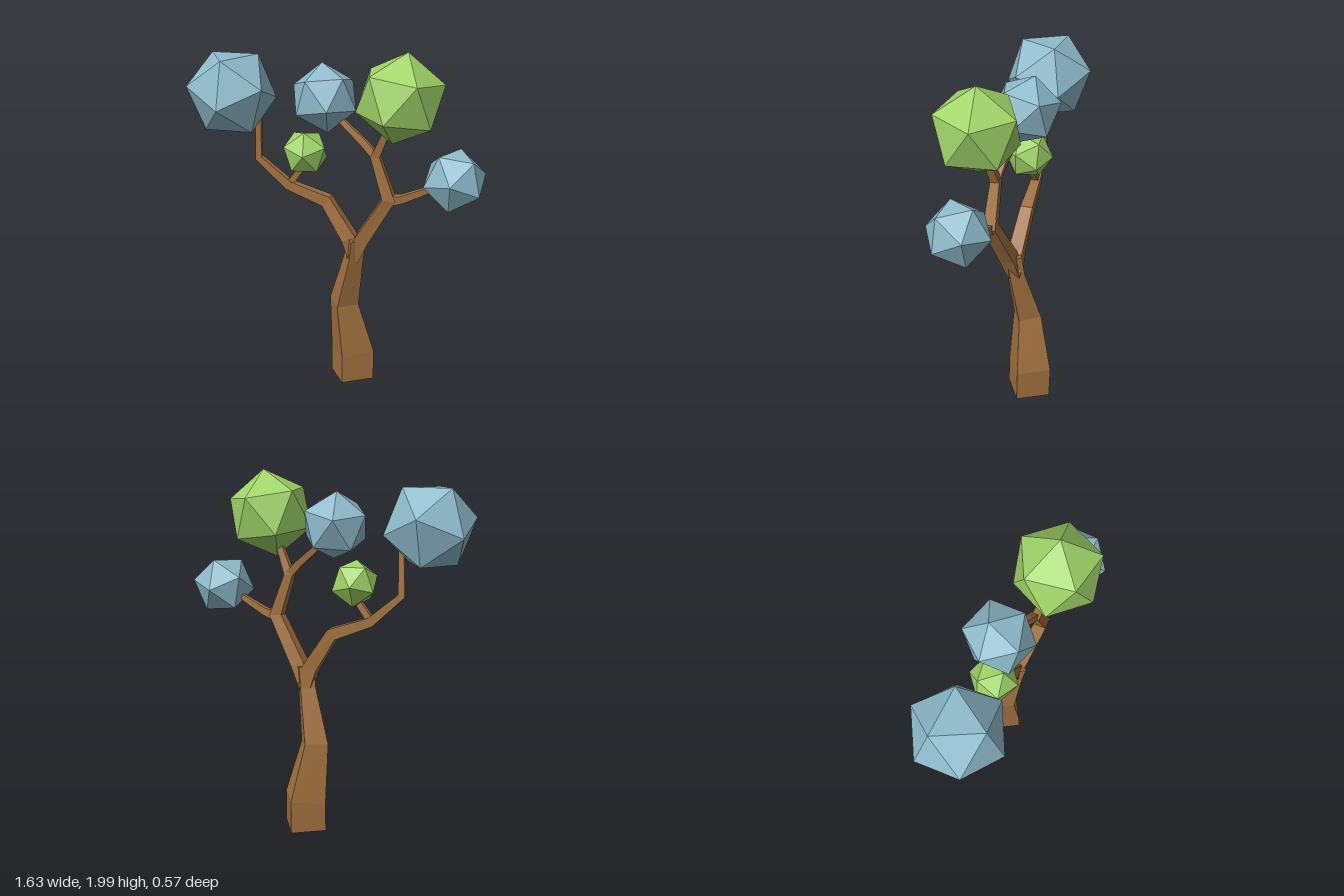
import * as THREE from 'three';

const material = (color) => new THREE.MeshStandardMaterial({ color, flatShading: true });
const V = (a) => new THREE.Vector3(...a);

// Four-sided tapering limb through nodes [x, y, z, corner radius]; turn rotates the square section
function limbGeometry(nodes, turn) {
  const pts = nodes.map((n) => new THREE.Vector3(n[0], n[1], n[2]));
  const positions = [];
  const index = [];
  pts.forEach((p, i) => {
    const t = new THREE.Vector3();
    if (i > 0) t.add(p.clone().sub(pts[i - 1]).normalize());
    if (i < pts.length - 1) t.add(pts[i + 1].clone().sub(p).normalize());
    t.normalize();
    const side = new THREE.Vector3(0, 0, 1).cross(t).normalize().negate();
    const front = side.clone().cross(t).normalize();
    for (let k = 0; k < 4; k++) {
      const a = turn + (k * Math.PI) / 2;
      const c = p.clone()
        .addScaledVector(side, Math.cos(a) * nodes[i][3])
        .addScaledVector(front, Math.sin(a) * nodes[i][3]);
      positions.push(c.x, c.y, c.z);
    }
  });
  for (let i = 0; i < pts.length - 1; i++) {
    for (let k = 0; k < 4; k++) {
      const a = i * 4 + k;
      const b = i * 4 + ((k + 1) % 4);
      index.push(a, a + 4, b, b, a + 4, b + 4);
    }
  }
  const e = (pts.length - 1) * 4;
  index.push(0, 1, 2, 0, 2, 3, e, e + 2, e + 1, e, e + 3, e + 2);
  const g = new THREE.BufferGeometry();
  g.setAttribute('position', new THREE.Float32BufferAttribute(positions, 3));
  g.setIndex(index);
  const flat = g.toNonIndexed();
  flat.computeVertexNormals();
  return flat;
}

// Orthonormal basis with the first axis along a and the second in the plane of a and b
function basis(a, b) {
  const x = a.clone().normalize();
  const z = x.clone().cross(b).normalize();
  return new THREE.Matrix4().makeBasis(x, z.clone().cross(x), z);
}

// Icosahedron with one corner pointing along a and a neighbouring corner leaning toward b
function foliageGeometry(radius, a, b) {
  const t = (1 + Math.sqrt(5)) / 2;
  const from = basis(V([-1, t, 0]), V([1, t, 0]));
  const turn = basis(V(a), V(b)).multiply(from.invert());
  return new THREE.IcosahedronGeometry(radius, 0).applyMatrix4(turn);
}

export function createModel() {
  const tree = new THREE.Group();
  tree.name = 'tree';
  const bark = material(0xa0703f);
  const blue = material(0x8fbccc);
  const green = material(0xa0d468);

  const add = (name, geometry, mat, position = [0, 0, 0]) => {
    const mesh = new THREE.Mesh(geometry, mat);
    mesh.name = name;
    mesh.position.set(...position);
    tree.add(mesh);
  };

  // Trunk and branches
  const limbs = [
    ['trunk', 0.25, [
      [0.065, 0.008, -0.136, 0.139], [0.065, 0.18, -0.14, 0.139], [0.02, 0.5, -0.11, 0.092],
      [0.085, 0.8, -0.06, 0.06], [0.1, 0.92, -0.045, 0.062]]],
    ['rightBranch', 0.75, [
      [0.095, 0.8, -0.06, 0.05], [0.06, 0.92, -0.055, 0.057], [-0.075, 1.125, -0.075, 0.048],
      [-0.29, 1.205, -0.065, 0.036], [-0.46, 1.355, -0.06, 0.027], [-0.452, 1.6, -0.05, 0.021]]],
    ['rightTwig', 0.75, [[-0.3, 1.195, -0.065, 0.028], [-0.19, 1.34, -0.055, 0.022]]],
    ['leftBranch', 0.75, [
      [0.085, 0.8, -0.055, 0.05], [0.14, 0.93, -0.035, 0.056], [0.295, 1.19, 0.015, 0.05],
      [0.215, 1.425, 0.01, 0.036], [0.3, 1.62, 0.04, 0.022]]],
    ['leftTwig', 0.75, [[0.285, 1.18, 0.015, 0.038], [0.37, 1.2, 0.025, 0.03], [0.56, 1.29, 0.05, 0.02]]],
    ['middleTwig', 0.75, [[0.225, 1.415, 0.01, 0.03], [0.15, 1.49, -0.005, 0.027], [-0.02, 1.63, -0.05, 0.021]]],
  ];
  for (const [name, turn, nodes] of limbs) add(name, limbGeometry(nodes, turn), bark);

  // Foliage: name, material, centre, radius, corner direction, neighbour direction
  const foliage = [
    ['largeBlueFoliage', blue, [-0.6, 1.725, -0.04], 0.253, [-0.01, -0.055, 0.25], [0, 1, 0]],
    ['middleBlueFoliage', blue, [-0.082, 1.715, -0.062], 0.19, [0.05, -0.04, 0.175], [0.1, 0.15, 0]],
    ['largeGreenFoliage', green, [0.35, 1.757, 0.06], 0.245, [0.035, 0.24, -0.01], [0.05, 0.094, -0.22]],
    ['smallGreenFoliage', green, [-0.19, 1.406, -0.05], 0.133, [0.015, 0.005, 0.12], [0, 1, 0]],
    ['leftBlueFoliage', blue, [0.65, 1.335, 0.06], 0.175, [-0.007, 0.01, 0.177], [-0.5, 0.87, 0]],
  ];
  for (const [name, mat, centre, radius, a, b] of foliage) {
    add(name, foliageGeometry(radius, a, b), mat, centre);
  }
  return tree;
}
